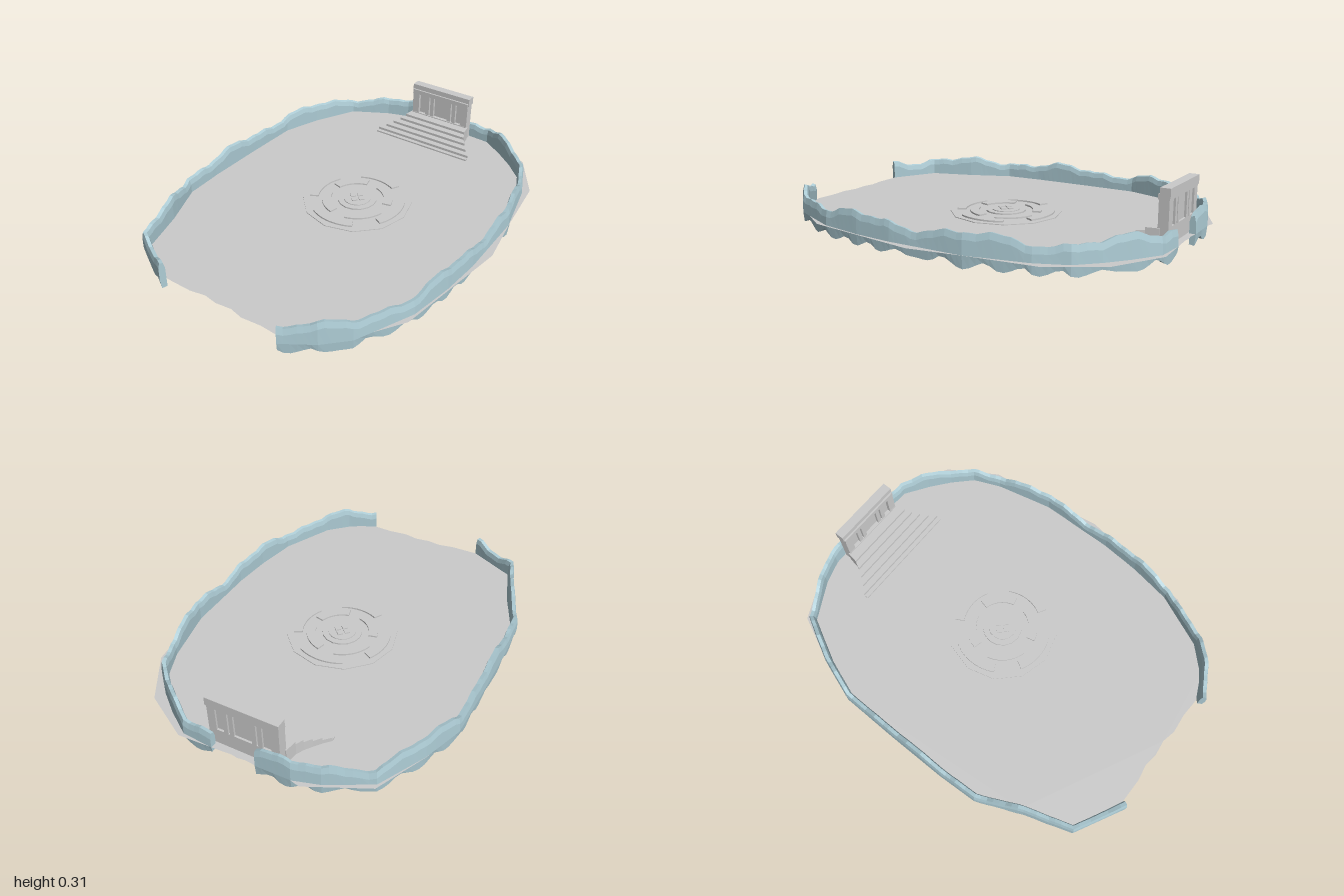
import * as THREE from 'three';

const FLOOR = 0.065;
const grey = new THREE.MeshStandardMaterial({ color: 0xcccccc, flatShading: true, side: THREE.DoubleSide });
const rock = new THREE.MeshStandardMaterial({ color: 0xaecdd6, flatShading: true, side: THREE.DoubleSide });

function add(parent, name, geometry, material = grey) {
  const mesh = new THREE.Mesh(geometry, material);
  mesh.name = name;
  parent.add(mesh);
  return mesh;
}

// Shape from plan points given as [x, z]
const plan = pts => new THREE.Shape(pts.map(([x, z]) => new THREE.Vector2(x, -z)));

// Plan shape raised from y0 to y1
function slab(shape, y0, y1) {
  const g = new THREE.ExtrudeGeometry(shape, { depth: y1 - y0, bevelEnabled: false, curveSegments: 6 });
  return g.rotateX(-Math.PI / 2).translate(0, y0, 0);
}

function box(parent, name, x0, x1, y0, y1, z0, z1) {
  const g = new THREE.BoxGeometry(x1 - x0, y1 - y0, z1 - z0);
  add(parent, name, g.translate((x0 + x1) / 2, (y0 + y1) / 2, (z0 + z1) / 2));
}

// Ring sector centred on angle mid
function arcShape(r0, r1, mid, span) {
  const s = new THREE.Shape();
  s.absarc(0, 0, r1, mid - span / 2, mid + span / 2, false);
  s.absarc(0, 0, r0, mid + span / 2, mid - span / 2, true);
  return s;
}

// Ragged rock wall swept along a plan path, with uneven crest and underside
function wallGeometry(path, seed) {
  const normals = path.slice(1).map(([x, z], i) =>
    new THREE.Vector2(z - path[i][1], path[i][0] - x).normalize());
  const pos = [], index = [], M = 7;
  let s = seed, rows = 0;
  for (let i = 0; i < path.length - 1; i++) {
    const n0 = normals[Math.max(i - 1, 0)].clone().add(normals[i]).normalize();
    const n1 = normals[i].clone().add(normals[Math.min(i + 1, normals.length - 1)]).normalize();
    const a = new THREE.Vector2(...path[i]), b = new THREE.Vector2(...path[i + 1]);
    const len = a.distanceTo(b), steps = Math.max(2, Math.round(len / 0.03));
    for (let k = i ? 1 : 0; k <= steps; k++) {
      const t = k / steps, p = a.clone().lerp(b, t), n = n0.clone().lerp(n1, t);
      const d = s + len * t;
      const top = 0.152 + 0.017 * Math.sin(d * 10) + 0.009 * Math.sin(d * 23 + 1) + 0.004 * Math.sin(d * 61);
      const low = 0.004 + 0.034 * (1 - Math.abs(Math.sin(d * 17 + 0.6 * Math.sin(d * 7)))) + 0.006 * (1 + Math.sin(d * 41));
      const section = [[0.012, low], [0.017, FLOOR], [0.015, top - 0.03], [0.008, top],
        [-0.009, top - 0.004], [-0.015, top - 0.03], [-0.013, low + 0.004]];
      for (const [o, y] of section) pos.push(p.x + n.x * o, y, p.y + n.y * o);
      rows++;
    }
    s += len;
  }
  for (let r = 0; r < rows - 1; r++) {
    for (let j = 0; j < M; j++) {
      const j2 = (j + 1) % M, q = r * M, w = q + M;
      index.push(q + j, q + j2, w + j2, q + j, w + j2, w + j);
    }
  }
  // End caps
  const e = (rows - 1) * M;
  for (let j = 1; j < M - 1; j++) index.push(0, j + 1, j, e, e + j, e + j + 1);
  const g = new THREE.BufferGeometry();
  g.setAttribute('position', new THREE.Float32BufferAttribute(pos, 3));
  g.setIndex(index);
  g.computeVertexNormals();
  return g;
}

export function createModel() {
  const model = new THREE.Group();
  model.name = 'arena';

  // Ground sheet
  const ground = new THREE.ShapeGeometry(plan([
    [-0.31, -0.995], [-0.2, -0.97], [-0.1, -0.985], [-0.04, -0.98], [0, -0.985], [0.03, -0.98], [0.1, -0.985],
    [0.3, -0.995], [0.54, -0.86], [0.69, -0.62], [0.73, -0.3], [0.775, -0.02], [0.69, 0.58], [0.56, 0.78],
    [0.44, 0.89], [0.3, 0.955], [0.2, 0.95], [0.1, 0.96], [0.03, 0.945], [-0.05, 0.955], [-0.12, 0.945],
    [-0.2, 0.96], [-0.34, 0.96], [-0.58, 0.84], [-0.66, 0.6], [-0.75, 0.4], [-0.765, 0], [-0.75, -0.4],
    [-0.71, -0.6], [-0.59, -0.86]]));
  add(model, 'ground', ground.rotateX(-Math.PI / 2).translate(0, FLOOR, 0));

  // Rock walls, open at the front and behind the gate
  add(model, 'rightWall', wallGeometry([[-0.345, 0.975], [-0.585, 0.85], [-0.66, 0.62], [-0.755, 0.4],
    [-0.765, 0.2], [-0.765, -0.1], [-0.76, -0.4], [-0.69, -0.6], [-0.575, -0.825], [-0.38, -0.93],
    [-0.26, -0.967], [-0.09, -0.97]], 0.3), rock);
  add(model, 'leftWall', wallGeometry([[0.13, -0.97], [0.28, -0.96], [0.4, -0.88], [0.5, -0.8], [0.59, -0.71],
    [0.65, -0.57], [0.715, -0.28], [0.72, 0.1], [0.705, 0.3], [0.67, 0.52], [0.55, 0.79], [0.45, 0.89],
    [0.31, 0.98]], 1.1), rock);

  // Gate: recessed panel, posts, ribs on both faces, lintel
  const gate = new THREE.Group();
  gate.name = 'gate';
  model.add(gate);
  box(gate, 'panel', -0.19, 0.155, 0.06, 0.28, -0.938, -0.918);
  box(gate, 'lintel', -0.2, 0.163, 0.275, 0.318, -0.953, -0.905);
  box(gate, 'cornice', -0.196, 0.159, 0.265, 0.29, -0.949, -0.896);
  for (const x of [-0.196, 0.119]) box(gate, 'post', x, x + 0.04, 0.06, 0.28, -0.948, -0.9);
  for (const x of [-0.112, -0.082, 0.03, 0.06]) box(gate, 'rib', x, x + 0.022, 0.06, 0.275, -0.948, -0.903);
  box(gate, 'sill', -0.196, 0.159, 0.06, 0.145, -0.948, -0.898);

  // Flared steps: each tread narrows toward the gate
  const steps = new THREE.Group();
  steps.name = 'steps';
  model.add(steps);
  const cx = -0.018;
  const edges = [[-0.69, 0.293], [-0.712, 0.293], [-0.745, 0.262], [-0.78, 0.235], [-0.815, 0.21],
    [-0.85, 0.193], [-0.91, 0.183]];
  for (let i = 0; i < edges.length - 1; i++) {
    const [z0, w0] = edges[i], [z1, w1] = edges[i + 1];
    add(steps, 'step', slab(plan([[cx - w0, z0], [cx + w0, z0], [cx + w1, z1], [cx - w1, z1]]),
      0.055, 0.073 + i * 0.0135));
  }

  // Medallion: twelve-sided disc with ring sectors in low relief
  const medallion = new THREE.Group();
  medallion.name = 'medallion';
  medallion.position.set(0, 0, -0.04);
  model.add(medallion);
  const disc = (name, r, y0, y1, n) =>
    add(medallion, name, new THREE.CylinderGeometry(r, r, y1 - y0, n).translate(0, (y0 + y1) / 2, 0));
  disc('baseDisc', 0.28, 0.052, 0.069, 12);
  disc('hubDisc', 0.1, 0.06, 0.076, 16);
  disc('hubStep', 0.07, 0.06, 0.08, 16);
  for (let i = 0; i < 4; i++) {
    const a = i * Math.PI / 2;
    add(medallion, 'outerArc', slab(arcShape(0.2, 0.245, a, 1.0), 0.06, 0.077));
    add(medallion, 'innerArc', slab(arcShape(0.135, 0.18, a + Math.PI / 4, 1.1), 0.06, 0.077));
    const stud = add(medallion, 'hubStud', new THREE.BoxGeometry(0.026, 0.012, 0.026));
    stud.position.set(Math.cos(a) * 0.026, 0.08, Math.sin(a) * 0.026);
    stud.rotation.y = Math.PI / 4;
  }
  return model;
}
